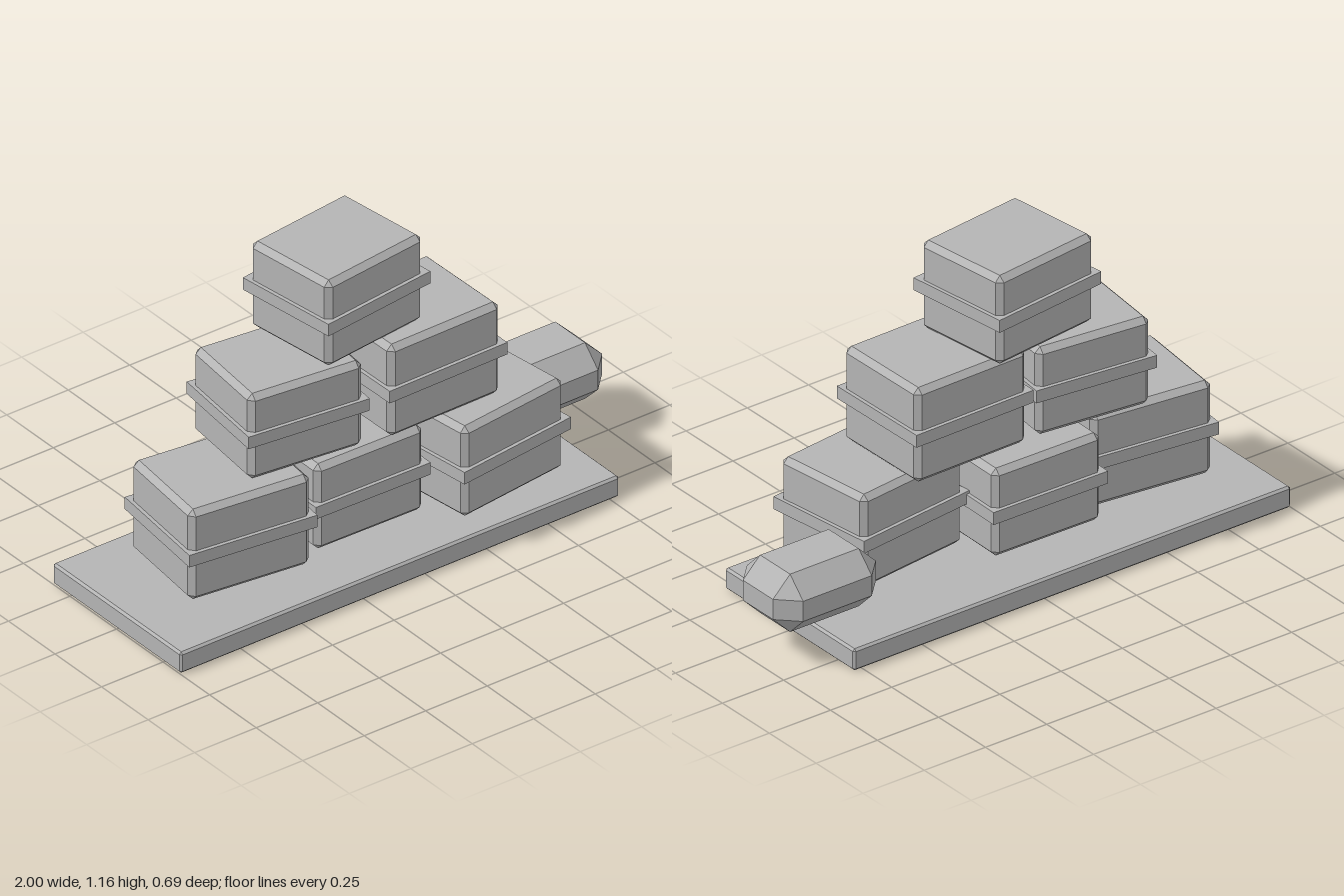
import * as THREE from 'three';
import { ConvexGeometry } from 'three/addons/geometries/ConvexGeometry.js';

const grey = new THREE.MeshStandardMaterial({ color: 0xb4b4b4 });
grey.name = 'plain grey';

// Box with every edge cut at 45 degrees and a small triangle at each corner
function chamferedBox(w, h, d, bevel) {
  const x = w / 2, y = h / 2, z = d / 2, points = [];
  for (const sx of [-1, 1]) for (const sy of [-1, 1]) for (const sz of [-1, 1]) {
    points.push(
      new THREE.Vector3(sx * x, sy * (y - bevel), sz * (z - bevel)),
      new THREE.Vector3(sx * (x - bevel), sy * y, sz * (z - bevel)),
      new THREE.Vector3(sx * (x - bevel), sy * (y - bevel), sz * z));
  }
  return new ConvexGeometry(points);
}

function part(name, geometry, x, y, z) {
  const mesh = new THREE.Mesh(geometry, grey);
  mesh.name = name;
  mesh.position.set(x, y, z);
  return mesh;
}

// Bale with a band around its middle
function bale({ name, x, z, bottom, top, w, d, turn }) {
  const group = new THREE.Group();
  const h = top - bottom;
  group.name = name;
  group.position.set(x, (bottom + top) / 2, z);
  group.rotation.y = turn;
  group.add(part('baleBody', chamferedBox(w, h, d, 0.02), 0, 0, 0));
  group.add(part('baleBand', new THREE.BoxGeometry(w + 0.027, 0.046, d + 0.027), 0, 0, 0));
  return group;
}

export function createModel() {
  const model = new THREE.Group();
  model.name = 'baleStack';

  // Flat board below the stack
  model.add(part('baseBoard', chamferedBox(1.785, 0.08, 0.69, 0.008), -0.1075, 0.04, 0));

  // Three bales, then two, then one
  const bales = [
    { name: 'bottomRightBale', x: -0.59, z: 0.02, bottom: 0.13, top: 0.475, w: 0.455, d: 0.385, turn: -0.115 },
    { name: 'bottomMiddleBale', x: -0.107, z: -0.015, bottom: 0.13, top: 0.455, w: 0.435, d: 0.41, turn: -0.015 },
    { name: 'bottomLeftBale', x: 0.375, z: 0.0975, bottom: 0.13, top: 0.475, w: 0.455, d: 0.39, turn: 0.125 },
    { name: 'middleRightBale', x: -0.3425, z: 0, bottom: 0.48, top: 0.805, w: 0.43, d: 0.365, turn: -0.11 },
    { name: 'middleLeftBale', x: 0.168, z: 0.028, bottom: 0.48, top: 0.83, w: 0.457, d: 0.39, turn: 0.015 },
    { name: 'topBale', x: -0.105, z: 0, bottom: 0.832, top: 1.16, w: 0.435, d: 0.37, turn: 0.125 },
  ];
  for (const spec of bales) model.add(bale(spec));

  // Heavily bevelled bundle beside the stack
  model.add(part('sideBundle', chamferedBox(0.42, 0.215, 0.3, 0.07), 0.79, 0.2375, -0.113));

  return model;
}
